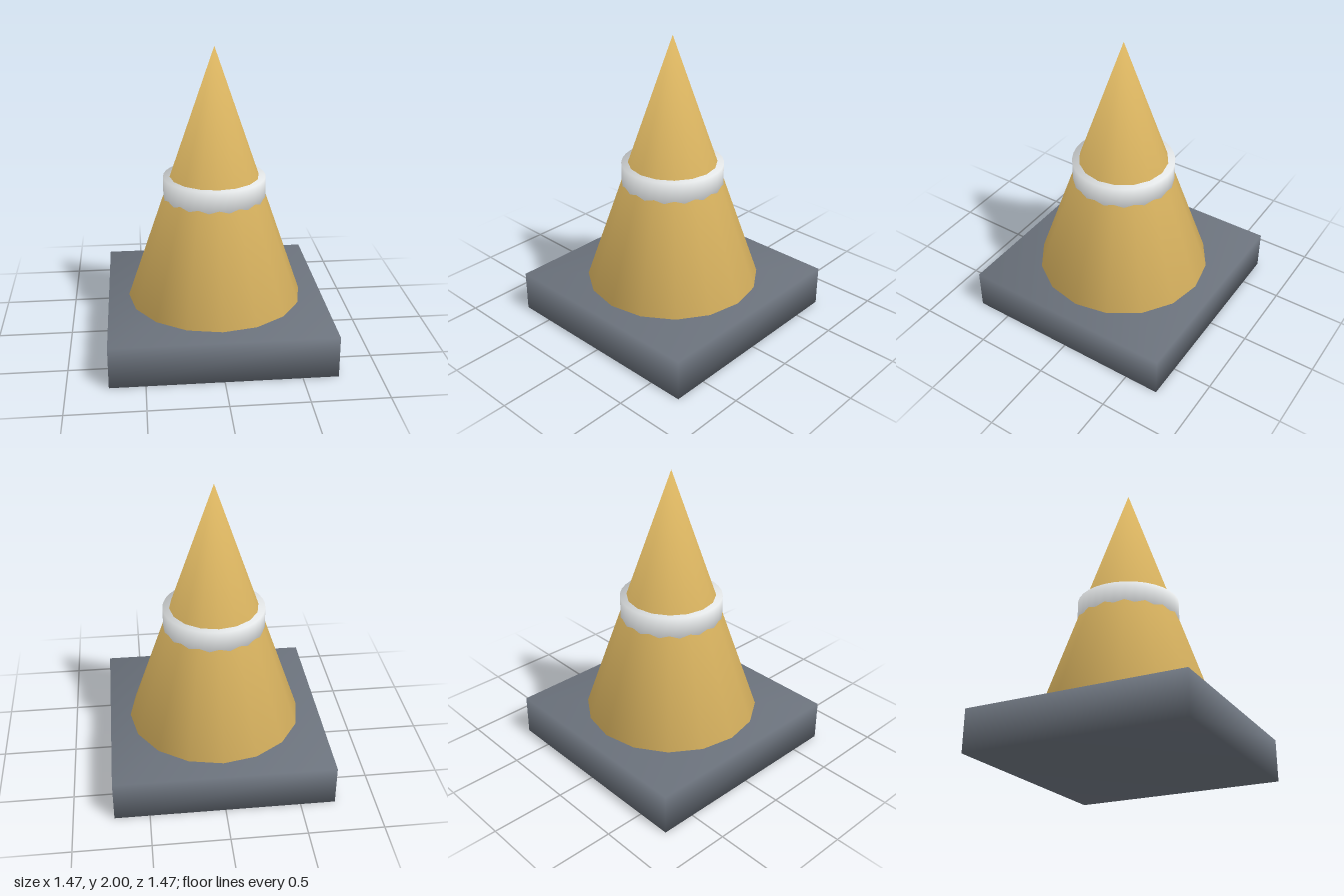
import * as THREE from 'three';
import { mergeVertices } from 'three/addons/utils/BufferGeometryUtils.js';

// Weld all corners so normals run smoothly over every edge
function smooth(geometry) {
  geometry.deleteAttribute('uv');
  geometry.deleteAttribute('normal');
  const welded = mergeVertices(geometry, 1e-4);
  welded.computeVertexNormals();
  return welded;
}

export function createModel() {
  const group = new THREE.Group();
  group.name = 'trafficCone';

  const material = (name, color) => {
    const m = new THREE.MeshStandardMaterial({ color });
    m.name = name;
    return m;
  };
  const add = (name, geometry, mat, y) => {
    const mesh = new THREE.Mesh(smooth(geometry), mat);
    mesh.name = name;
    mesh.position.y = y;
    group.add(mesh);
  };

  // Square foot slab
  add('base', new THREE.BoxGeometry(1.465, 0.28, 1.465), material('slate grey', 0x6b727c), 0.14);

  // Sixteen-sided pointed body
  add('cone', new THREE.ConeGeometry(0.593, 1.72, 16), material('amber', 0xe0b963), 1.14);

  // Reflective collar, its lower edge sunk into the cone
  add('collar', new THREE.CylinderGeometry(0.342, 0.342, 0.215, 32), material('off white', 0xe2e5e6), 1.0275);

  return group;
}
